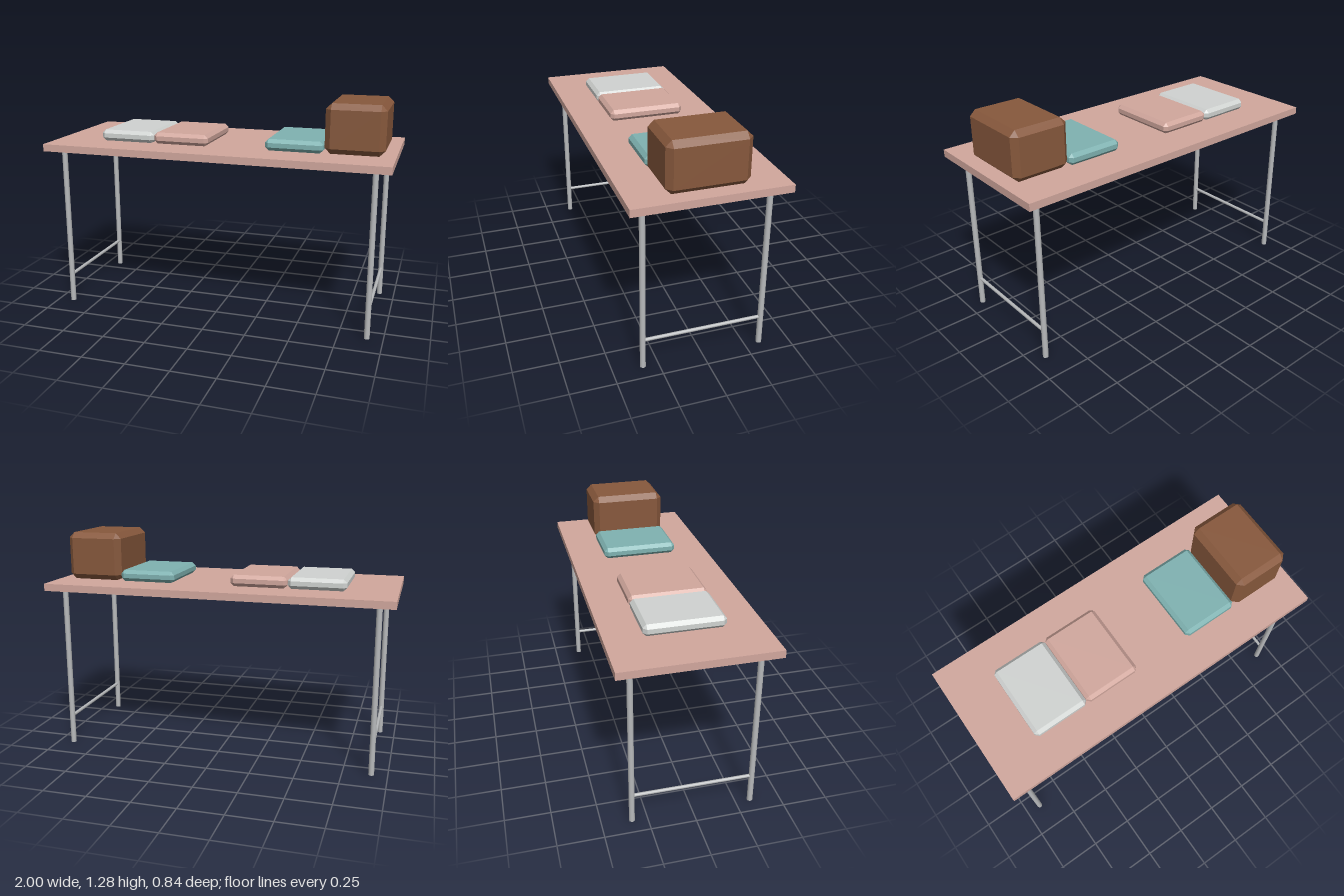
import * as THREE from 'three';
import { ConvexGeometry } from 'three/addons/geometries/ConvexGeometry.js';

const material = (name, color) => {
  const m = new THREE.MeshStandardMaterial({ color });
  m.name = name;
  return m;
};

// Box with every edge and corner cut flat by c
function chamferedBox(w, h, d, c) {
  const points = [];
  for (const x of [-w / 2, w / 2])
    for (const y of [-h / 2, h / 2])
      for (const z of [-d / 2, d / 2]) {
        const ix = x - Math.sign(x) * c, iy = y - Math.sign(y) * c, iz = z - Math.sign(z) * c;
        points.push(
          new THREE.Vector3(x, iy, iz),
          new THREE.Vector3(ix, y, iz),
          new THREE.Vector3(ix, iy, z)
        );
      }
  return new ConvexGeometry(points);
}

export function createModel() {
  const group = new THREE.Group();
  group.name = 'table';

  const pink = material('dusty pink', 0xd1a79d);
  const metal = material('grey metal', 0xb8babc);
  const white = material('off white', 0xd0d3d1);
  const teal = material('teal', 0x7fb2b1);
  const brown = material('brown', 0x87583c);

  const add = (name, geometry, mat, x, y, z) => {
    const mesh = new THREE.Mesh(geometry, mat);
    mesh.name = name;
    mesh.position.set(x, y, z);
    group.add(mesh);
    return mesh;
  };

  // Tabletop
  add('tabletop', new THREE.BoxGeometry(2, 0.042, 0.842), pink, 0, 0.979, 0);

  // Legs, with a cross bar joining each end pair
  const legGeometry = new THREE.CylinderGeometry(0.016, 0.016, 0.958, 12);
  const barGeometry = new THREE.CylinderGeometry(0.01, 0.01, 0.67, 8);
  for (const [side, x] of [['left', 0.91], ['right', -0.91]]) {
    add(side + 'FrontLeg', legGeometry, metal, x, 0.479, 0.335);
    add(side + 'BackLeg', legGeometry, metal, x, 0.479, -0.335);
    add(side + 'CrossBar', barGeometry, metal, x, 0.17, 0).rotation.x = Math.PI / 2;
  }

  // Flat pads and the tall box lying on the table
  const padGeometry = chamferedBox(0.33, 0.066, 0.442, 0.02);
  add('whitePad', padGeometry, white, -0.557, 1.033, 0);
  add('pinkPad', padGeometry, pink, -0.225, 1.033, 0);
  add('tealPad', padGeometry, teal, 0.443, 1.033, 0);
  add('brownBox', chamferedBox(0.33, 0.278, 0.442, 0.032), brown, 0.776, 1.139, 0);

  return group;
}
